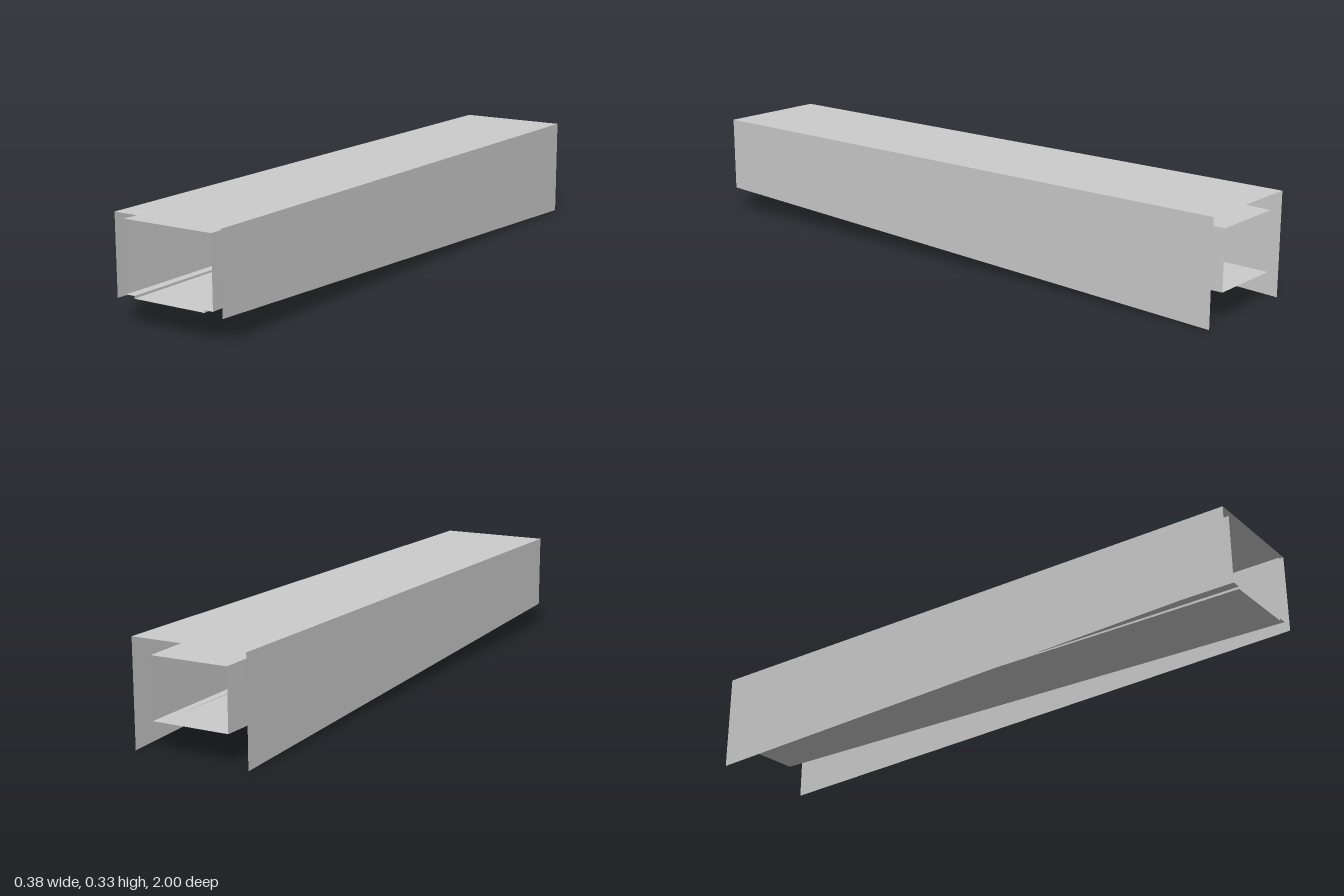
import * as THREE from 'three';

const material = new THREE.MeshStandardMaterial({
  color: 0xcccccc, flatShading: true, side: THREE.DoubleSide,
});

// Thin sheet stretched between a front outline (z = 1) and a back outline (z = -1)
function loftSheet(name, front, back, closed) {
  const positions = [];
  const count = closed ? front.length : front.length - 1;
  for (let i = 0; i < count; i++) {
    const j = (i + 1) % front.length;
    const a = [...front[i], 1], b = [...front[j], 1];
    const c = [...back[j], -1], d = [...back[i], -1];
    positions.push(...a, ...d, ...b, ...b, ...d, ...c);
  }
  const geometry = new THREE.BufferGeometry();
  geometry.setAttribute('position', new THREE.Float32BufferAttribute(positions, 3));
  geometry.computeVertexNormals();
  const mesh = new THREE.Mesh(geometry, material);
  mesh.name = name;
  return mesh;
}

// Mirror the right half of an outline to the left, running counterclockwise from the right
function mirrored(half) {
  return [...half, ...half.map(([x, y]) => [-x, y]).reverse()];
}

export function createModel() {
  const group = new THREE.Group();
  group.name = 'taperedDuct';

  // Outer cover: top and two sides, open below, deeper toward the back
  group.add(loftSheet('outerCover',
    mirrored([[0.189, 0.08], [0.189, 0.33]]),
    mirrored([[0.189, 0], [0.189, 0.33]]), false));

  // Inner duct narrowing to the back, its floor groove fading out to nothing
  group.add(loftSheet('innerDuct',
    mirrored([[0.126, 0.087], [0.126, 0.095], [0.156, 0.095], [0.156, 0.314]]),
    mirrored([[0.1, 0.095], [0.1, 0.095], [0.126, 0.095], [0.126, 0.284]]), true));

  return group;
}
